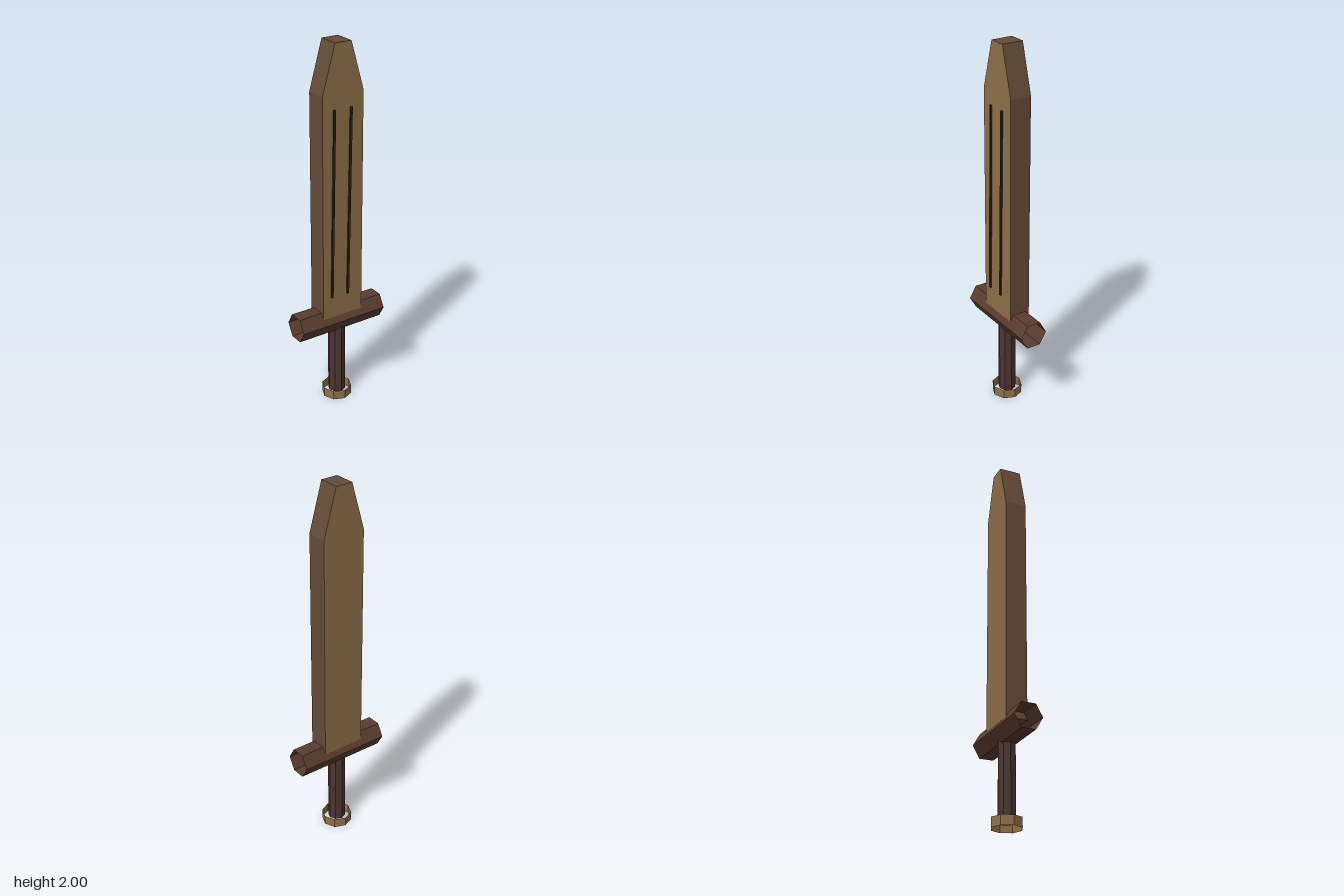
import * as THREE from 'three';

const mat = (color, side = THREE.FrontSide) =>
  new THREE.MeshStandardMaterial({ color, flatShading: true, side });

// Open-ended faceted tube, visible inside and out
function openTube(name, radius, length, sides, color) {
  const geometry = new THREE.CylinderGeometry(radius, radius, length, sides, 1, true);
  const mesh = new THREE.Mesh(geometry, mat(color, THREE.DoubleSide));
  mesh.name = name;
  return mesh;
}

export function createModel() {
  const sword = new THREE.Group();
  sword.name = 'woodenSword';

  // Blade: flat faces with darker cut edges and a blunt tip
  const outline = new THREE.Shape([
    [-0.12, 0.52], [0.12, 0.52], [0.12, 1.745],
    [0.047, 2], [-0.047, 2], [-0.12, 1.745],
  ].map(([x, y]) => new THREE.Vector2(x, y)));
  const bladeGeometry = new THREE.ExtrudeGeometry(outline, { depth: 0.116, bevelEnabled: false });
  bladeGeometry.translate(0, 0, -0.059);
  const blade = new THREE.Mesh(bladeGeometry, [mat(0x8f7048), mat(0x654b36)]);
  blade.name = 'blade';
  sword.add(blade);

  // Two slightly leaning grain lines on the front face
  [['rightGrainLine', -0.06], ['leftGrainLine', 0.038]].forEach(([name, x]) => {
    const line = new THREE.Mesh(new THREE.BoxGeometry(0.012, 1.028, 0.014), mat(0x2f2618));
    line.name = name;
    line.position.set(x, 1.157, 0.058);
    line.rotation.z = -0.0155;
    sword.add(line);
  });

  // Hexagonal crossguard with open ends, flat on top
  const guard = openTube('crossguard', 0.076, 0.512, 6, 0x5a3c2e);
  guard.rotation.z = Math.PI / 2;
  guard.position.y = 0.49;
  sword.add(guard);

  // Octagonal grip
  const grip = openTube('grip', 0.047, 0.445, 8, 0x4a3530);
  grip.position.y = 0.2525;
  sword.add(grip);

  // Pommel ring
  const pommel = openTube('pommel', 0.081, 0.052, 8, 0x8f7048);
  pommel.position.y = 0.026;
  sword.add(pommel);

  return sword;
}
